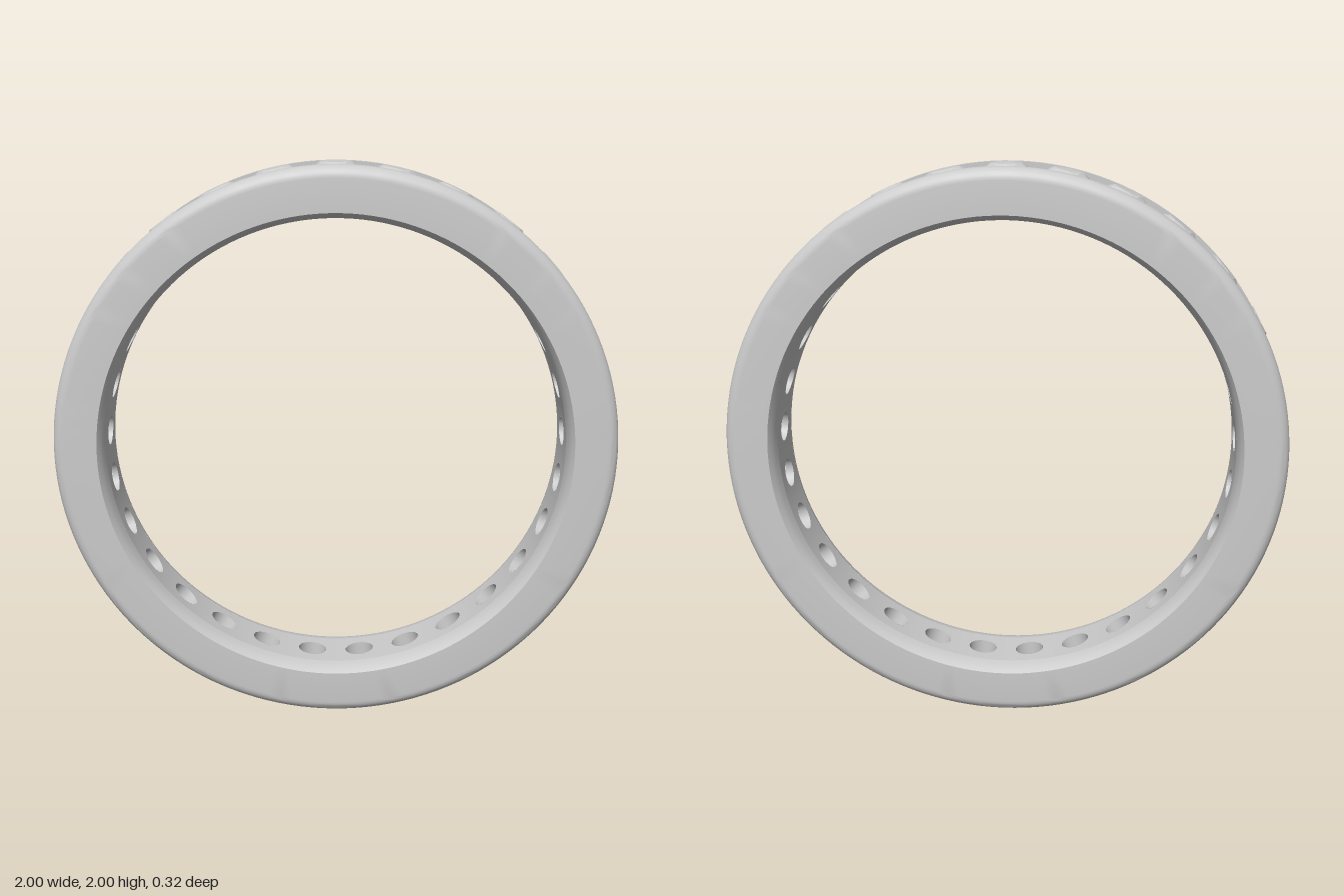
import * as THREE from 'three';
import { toCreasedNormals } from 'three/addons/utils/BufferGeometryUtils.js';
import { ConvexGeometry } from 'three/addons/geometries/ConvexGeometry.js';
import { ParametricGeometry } from 'three/addons/geometries/ParametricGeometry.js';

const COUNT = 29;        // stones around the ring
const INNER = 0.815;     // finger hole radius
const FLOOR = 0.95;      // channel floor radius
const RIM = 0.995;       // rail outer radius
const HALF = 0.162;      // half the band width
const CHANNEL = 0.097;   // half the channel width
const LINING = 0.1;      // half the width of the pierced inner wall
const HOLE = 0.052;      // radius of the holes behind the stones

// Band: channel floor, rails with rounded outer corners, eased inner edges
function bandGeometry() {
  const half = [[FLOOR, CHANNEL], [RIM, CHANNEL]];
  const corner = 0.042;
  for (let i = 0; i <= 7; i++) {
    const a = (i / 7) * Math.PI / 2;
    half.push([RIM - corner + corner * Math.cos(a), HALF - corner + corner * Math.sin(a)]);
  }
  half.push([0.838, HALF], [0.827, 0.145], [0.819, 0.122], [INNER, LINING]);
  const mirrored = half.map(([r, z]) => [r, -z]).reverse();
  const profile = [...mirrored, ...half].map(([r, z]) => new THREE.Vector2(r, z));
  const lathe = new THREE.LatheGeometry(profile, COUNT * 5).rotateX(Math.PI / 2);
  return toCreasedNormals(lathe, 0.5);
}

// One curved piece of inner wall with a round hole in it
function liningGeometry() {
  const halfWidth = INNER * Math.sin(Math.PI / COUNT);
  return new ParametricGeometry((u, v, target) => {
    const a = -u * Math.PI * 2;
    const c = Math.cos(a), s = Math.sin(a);
    const m = Math.max(Math.abs(c), Math.abs(s));
    const x = THREE.MathUtils.lerp(HOLE * c, halfWidth * c / m, v);
    const z = THREE.MathUtils.lerp(HOLE * s, LINING * s / m, v);
    target.set(x, Math.sqrt(INNER * INNER - x * x), z);
  }, 40, 3);
}

// Round cut stone: octagonal table, crown facets, girdle and pointed base
function stoneGeometry() {
  const points = [new THREE.Vector3(0, -0.1, 0)];
  const ring = (n, r, y, turn = 0) => {
    for (let i = 0; i < n; i++) {
      const a = ((i + turn) / n) * Math.PI * 2;
      points.push(new THREE.Vector3(r * Math.cos(a), y, r * Math.sin(a)));
    }
  };
  ring(8, 0.053, 0.04);
  ring(8, 0.075, 0.027, 0.5);
  ring(32, 0.096, 0);
  ring(32, 0.096, -0.006);
  return new ConvexGeometry(points);
}

export function createModel() {
  const model = new THREE.Group();
  model.name = 'ring';
  const metal = new THREE.MeshStandardMaterial({ color: 0xcccccc });
  const thin = new THREE.MeshStandardMaterial({ color: 0xcccccc, side: THREE.DoubleSide });
  const faceted = new THREE.MeshStandardMaterial({ color: 0xcccccc, flatShading: true });

  const add = (parent, name, geometry, material, y = 0) => {
    const mesh = new THREE.Mesh(geometry, material);
    mesh.name = name;
    mesh.position.y = y;
    parent.add(mesh);
  };

  add(model, 'band', bandGeometry(), metal, 1);

  // Settings: each holds a stone, its hole and a piece of inner wall
  const lining = liningGeometry();
  const stone = stoneGeometry();
  const depth = 0.1;
  const bore = new THREE.CylinderGeometry(HOLE, HOLE, depth, 40, 1, true);
  for (let i = 0; i < COUNT; i++) {
    const setting = new THREE.Group();
    setting.name = 'setting' + (i + 1);
    setting.position.y = 1;
    setting.rotation.z = (i / COUNT) * Math.PI * 2;
    add(setting, 'innerWall', lining, thin);
    add(setting, 'hole', bore, thin, INNER - 0.001 + depth / 2);
    add(setting, 'stone', stone, faceted, 0.958);
    model.add(setting);
  }
  return model;
}
